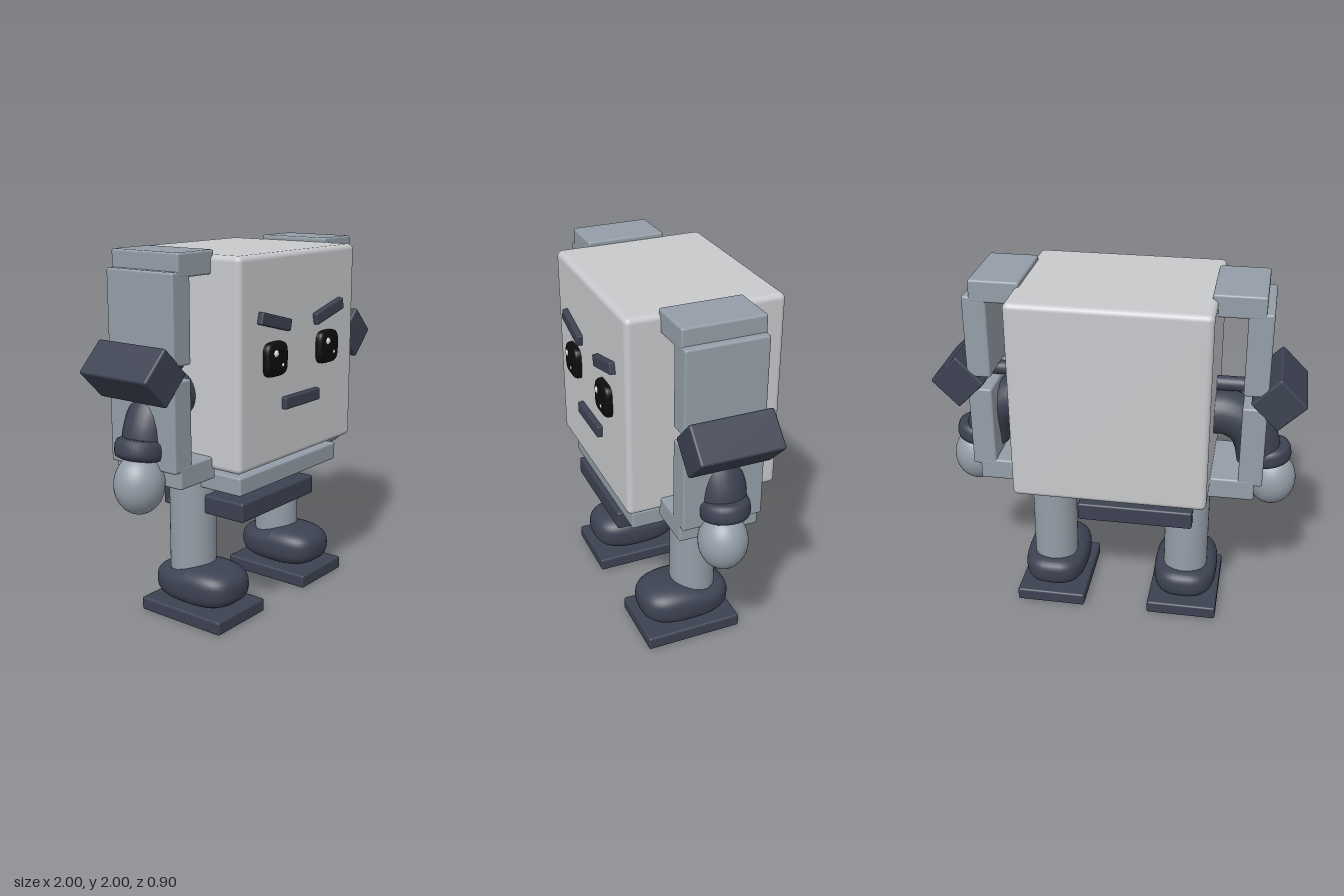
import * as THREE from 'three';
import { RoundedBoxGeometry } from 'three/addons/geometries/RoundedBoxGeometry.js';

const material = (name, color) => {
  const m = new THREE.MeshStandardMaterial({ color });
  m.name = name;
  return m;
};

// Box given by its limits on each axis
function block(name, mat, [x0, x1], [y0, y1], [z0, z1], radius = 0.012) {
  const geo = new RoundedBoxGeometry(x1 - x0, y1 - y0, z1 - z0, 3, radius);
  const mesh = new THREE.Mesh(geo, mat);
  mesh.position.set((x0 + x1) / 2, (y0 + y1) / 2, (z0 + z1) / 2);
  mesh.name = name;
  return mesh;
}

// Sphere squared off towards a box; power 1 is a true ellipsoid
function blob(name, mat, center, radii, power = 1) {
  const geo = new THREE.SphereGeometry(1, 36, 24);
  const p = geo.attributes.position;
  const soft = (v) => Math.sign(v) * Math.abs(v) ** power;
  for (let i = 0; i < p.count; i++) {
    const y = p.getY(i);
    const ring = Math.sqrt(Math.max(0, 1 - y * y));
    const s = ring > 1e-5 ? ring ** power : 0;
    const cx = ring > 1e-5 ? p.getX(i) / ring : 0;
    const cz = ring > 1e-5 ? p.getZ(i) / ring : 0;
    p.setXYZ(i, radii[0] * s * soft(cx), radii[1] * soft(y), radii[2] * s * soft(cz));
  }
  geo.computeVertexNormals();
  const mesh = new THREE.Mesh(geo, mat);
  mesh.position.set(...center);
  mesh.name = name;
  return mesh;
}

function cylinder(name, mat, radius, height, center) {
  const mesh = new THREE.Mesh(new THREE.CylinderGeometry(radius, radius, height, 36), mat);
  mesh.position.set(...center);
  mesh.name = name;
  return mesh;
}

export function createModel() {
  const model = new THREE.Group();
  model.name = 'boxRobot';
  const shell = material('pale shell', 0xc8c9cc);
  const steel = material('steel grey', 0x949ea8);
  const dark = material('dark slate', 0x3d4252);
  const black = material('eye black', 0x0c0c0e);
  const glint = material('eye glint', 0xe6e6e6);

  // Head and body in one box
  model.add(block('body', shell, [-0.52, 0.52], [0.88, 1.975], [-0.45, 0.4], 0.03));

  // Mouth and hip plates
  model.add(block('mouth', dark, [-0.16, 0.155], [1.16, 1.225], [0.38, 0.43], 0.008));
  model.add(block('hipPlate', steel, [-0.45, 0.445], [0.74, 0.84], [-0.2, 0.35]));
  model.add(block('lowerHipPlate', dark, [-0.43, 0.22], [0.59, 0.695], [-0.2, 0.35]));

  for (const side of [1, -1]) {
    const label = side > 0 ? 'left' : 'right';

    // Eye with two glints, and slanted brow
    const eyeX = side > 0 ? 0.236 : -0.24;
    model.add(blob(label + 'Eye', black, [eyeX, 1.44, 0.4], [0.09, 0.09, 0.043], 0.5));
    model.add(blob(label + 'EyeGlint', glint, [eyeX - 0.031, 1.475, 0.433], [0.022, 0.022, 0.018]));
    model.add(blob(label + 'EyeSmallGlint', glint, [eyeX + 0.028, 1.41, 0.439], [0.011, 0.011, 0.01]));
    const brow = block(label + 'Brow', dark, [-0.13, 0.13], [-0.032, 0.032], [0.38, 0.43], 0.008);
    brow.position.x = side * 0.246;
    brow.position.y = 1.633;
    brow.rotation.z = side * 0.25;
    model.add(brow);

    // Everything below is laid out for +x and turned to the other side by mirrored coordinates
    const sx = (a, b) => (side > 0 ? [a, b] : [-b, -a]);
    const depth = [-0.22, 0.22];

    // Side bracket
    const bracket = new THREE.Group();
    bracket.name = label + 'Bracket';
    bracket.add(block('bracketTop', steel, sx(0.49, 0.76), [1.88, 2.0], depth));
    bracket.add(block('bracketBottom', steel, sx(0.49, 0.76), [0.83, 0.95], depth));
    bracket.add(block('upperPanel', steel, sx(0.67, 0.8), [1.455, 1.91], [-0.219, 0.219]));
    bracket.add(block('lowerPanel', steel, sx(0.67, 0.8), [0.92, 1.385], [-0.219, 0.219]));
    const wedge = block('sideWedge', dark, [-0.105, 0.105], [-0.105, 0.105], [-0.223, 0.223]);
    wedge.position.set(side * 0.857, 1.415, 0);
    wedge.rotation.z = Math.PI / 4;
    bracket.add(wedge);
    const axle = cylinder('axle', dark, 0.04, 0.26, [side * 0.61, 1.42, 0]);
    axle.rotation.z = Math.PI / 2;
    bracket.add(axle);
    model.add(bracket);

    // Bent arm, cuff and hand
    const arm = new THREE.Group();
    arm.name = label + 'Arm';
    const path = new THREE.CatmullRomCurve3(
      [[0.46, 1.25], [0.58, 1.255], [0.69, 1.2], [0.745, 1.11], [0.77, 1.0]]
        .map(([x, y]) => new THREE.Vector3(side * x, y, -0.01)));
    const sleeve = new THREE.Mesh(new THREE.TubeGeometry(path, 28, 0.125, 24), dark);
    sleeve.name = 'sleeve';
    arm.add(sleeve);
    const cuffProfile = [[0, -0.052], [0.1, -0.052], [0.122, -0.042], [0.13, -0.02],
      [0.13, 0.02], [0.122, 0.042], [0.1, 0.052], [0, 0.052]].map(([x, y]) => new THREE.Vector2(x, y));
    const cuff = new THREE.Mesh(new THREE.LatheGeometry(cuffProfile, 32), dark);
    cuff.name = 'cuff';
    cuff.position.set(side * 0.815, 1.022, 0.0);
    cuff.rotation.z = side * 0.17;
    arm.add(cuff);
    arm.add(blob('hand', steel, [side * 0.848, 0.85, 0.02], [0.134, 0.155, 0.128]));
    arm.add(blob('thumb', steel, [side * 0.71, 0.86, 0.02], [0.05, 0.06, 0.05]));
    model.add(arm);

    // Leg, shoe and sole
    const leg = new THREE.Group();
    leg.name = label + 'Leg';
    const x = side * 0.388;
    leg.add(cylinder('shin', steel, 0.127, 0.72, [x, 0.54, -0.025]));
    const shoe = blob('shoe', dark, [x, 0.185, 0.04], [0.183, 0.115, 0.26], 0.72);
    // Dip the top of the shoe behind the toe
    const p = shoe.geometry.attributes.position;
    for (let i = 0; i < p.count; i++) {
      const y = p.getY(i);
      if (y > 0) p.setY(i, y * (1 - 0.25 * Math.exp(-(((p.getZ(i) + 0.13) / 0.09) ** 2))));
    }
    shoe.geometry.computeVertexNormals();
    leg.add(shoe);
    leg.add(block('sole', dark, [x - 0.2, x + 0.2], [0, 0.075], [-0.235, 0.315]));
    model.add(leg);
  }

  return model;
}
